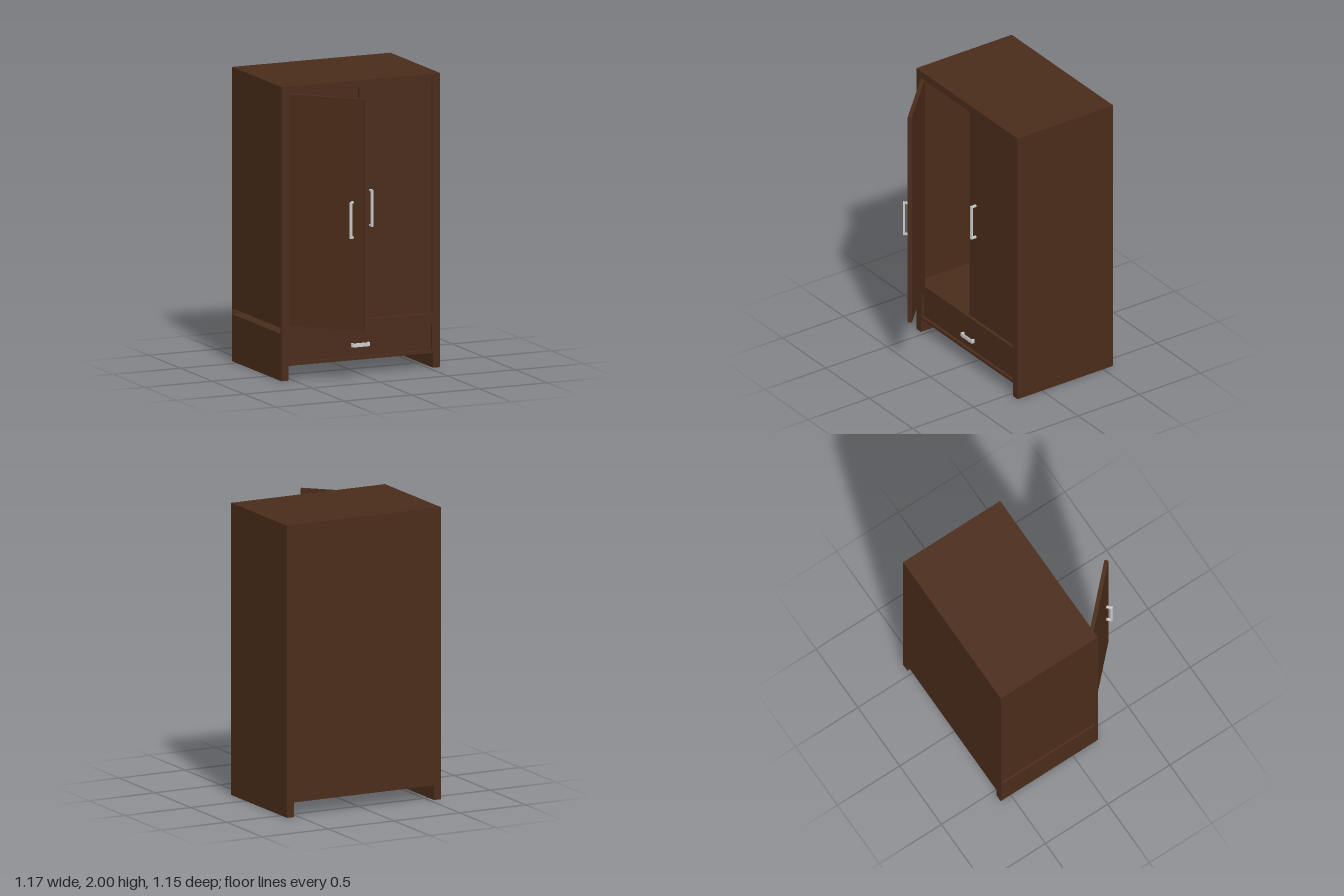
import * as THREE from 'three';

const wood = new THREE.MeshStandardMaterial({ color: 0x4a2c1a });
const metal = new THREE.MeshStandardMaterial({ color: 0xcccccc });

// Box given by its minimum and maximum corners
function block(name, [x0, y0, z0], [x1, y1, z1], material = wood) {
  const mesh = new THREE.Mesh(new THREE.BoxGeometry(x1 - x0, y1 - y0, z1 - z0), material);
  mesh.position.set((x0 + x1) / 2, (y0 + y1) / 2, (z0 + z1) / 2);
  mesh.name = name;
  return mesh;
}

function rectangle(target, x0, y0, x1, y1) {
  target.moveTo(x0, y0);
  target.lineTo(x1, y0);
  target.lineTo(x1, y1);
  target.lineTo(x0, y1);
  target.closePath();
  return target;
}

// Bar along y on two posts, standing off the plane z = 0
function pullHandle(name, length, width, reach, thick) {
  const handle = new THREE.Group();
  handle.name = name;
  const h = length / 2, w = width / 2;
  handle.add(block('bar', [-w, -h, reach - thick], [w, h, reach], metal));
  for (const y of [-h, h - 0.012])
    handle.add(block('post', [-w, y, 0], [w, y + 0.012, reach - thick], metal));
  return handle;
}

// Door hinged at its origin, extending along +x with its outer face at z = 0
function door(name, width, handleX) {
  const group = new THREE.Group();
  group.name = name;
  group.add(block('doorPanel', [0, 0.372, -0.028], [width, 1.947, 0]));
  const handle = pullHandle('doorHandle', 0.25, 0.016, 0.043, 0.012);
  handle.position.set(handleX, 1.125, 0);
  group.add(handle);
  return group;
}

export function createModel() {
  const model = new THREE.Group();
  model.name = 'wardrobe';
  const X = 0.584, back = -0.58, front = 0.2, inset = 0.18, t = 0.01;

  // Carcass: thin walls, with a narrow slot low in the right side
  model.add(block('top', [-X, 1.95, back], [X, 2, inset]));
  model.add(block('backPanel', [-X, 0.1, back], [X, 2, back + t]));
  model.add(block('leftSide', [X - t, 0.32, back], [X, 2, inset]));
  model.add(block('rightSide', [-X, 0.365, back], [-X + t, 2, inset]));
  model.add(block('floor', [-X, 0.36, back], [X, 0.37, inset]));
  model.add(block('drawerCase', [-X, 0.1, back], [X, 0.32, inset]));

  // Front frame with openings for the doors and the drawer
  const outline = rectangle(new THREE.Shape(), -X, 0.1, X, 2);
  outline.holes.push(rectangle(new THREE.Path(), -0.53, 0.37, 0.53, 1.95));
  outline.holes.push(rectangle(new THREE.Path(), -0.525, 0.12, 0.525, 0.3));
  const frame = new THREE.Mesh(
    new THREE.ExtrudeGeometry(outline, { depth: front - inset, bevelEnabled: false }), wood);
  frame.position.z = inset;
  frame.name = 'frontFrame';
  model.add(frame);

  // Runner legs along both sides
  for (const s of [-1, 1]) {
    const leg = block('leg', [-0.026, 0, back], [0.026, 0.1, front]);
    leg.position.x = s * (X - 0.026);
    model.add(leg);
  }

  // Drawer front and its horizontal handle
  model.add(block('drawerFront', [-0.52, 0.123, inset - 0.02], [0.52, 0.297, inset + 0.003]));
  const drawerHandle = pullHandle('drawerHandle', 0.13, 0.026, 0.027, 0.008);
  drawerHandle.rotation.z = Math.PI / 2;
  drawerHandle.position.set(0, 0.2, inset);
  model.add(drawerHandle);

  // Closed door on the left, open door on the right
  const closed = door('leftDoor', 0.528, 0.075);
  closed.position.set(0.001, 0, inset);
  model.add(closed);
  const open = door('rightDoor', 0.53, 0.455);
  open.position.set(-0.53, 0, front);
  open.rotation.y = -Math.PI / 4;
  model.add(open);

  return model;
}
